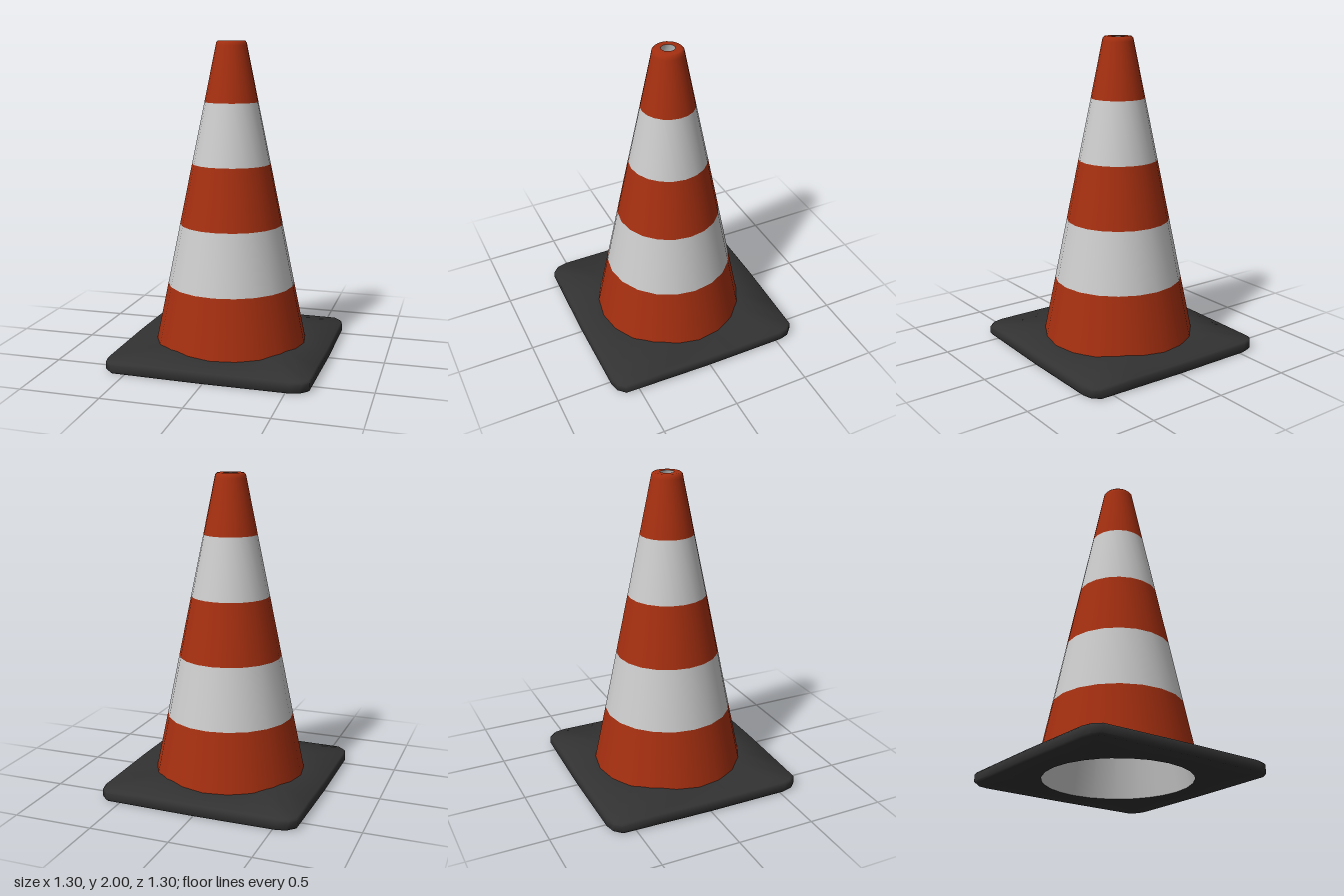
import * as THREE from 'three';
import { toCreasedNormals } from 'three/addons/utils/BufferGeometryUtils.js';

const SIDES = 20;
const material = (color) => new THREE.MeshStandardMaterial({ color });

function lathe(name, profile, mat) {
  const points = profile.map(([r, y]) => new THREE.Vector2(r, y));
  const mesh = new THREE.Mesh(new THREE.LatheGeometry(points, SIDES), mat);
  mesh.name = name;
  return mesh;
}

// Rounded, slightly skewed square outline: one side repeated by quarter turns
function baseOutline() {
  const side = [[0.59, -0.635], [0.635, -0.59], [0.65, -0.53], [0.65, -0.33],
    [0.65, -0.16], [0.65, 0], [0.646, 0.17], [0.641, 0.36]];
  const outline = [];
  for (let q = 0; q < 4; q++) {
    for (let [x, z] of side) {
      for (let k = 0; k < q; k++) [x, z] = [-z, x];
      outline.push([x, z]);
    }
  }
  return outline;
}

// Base plate skinned through loops, from the underside hole around to the collar
function baseGeometry() {
  const outline = baseOutline();
  const n = outline.length;
  const scaled = (s, y) => outline.map(([x, z]) => [x * s, y, z * s]);
  const ring = (r, y) => outline.map(([x, z]) => {
    const a = Math.atan2(z, x);
    return [r * Math.cos(a), y(a), r * Math.sin(a)];
  });
  // four low bumps where the plate meets the cone
  const collar = (a) => 0.085 + 0.016 * Math.max(0, Math.cos(4 * (a - 0.54)));
  const loops = [
    ring(0.455, () => 0),
    scaled(0.985, 0),
    scaled(1, 0.012),
    scaled(1, 0.056),
    scaled(0.985, 0.068),
    ring(0.5, collar),
    ring(0.47, collar),
  ];
  const index = [];
  for (let i = 0; i < loops.length - 1; i++) {
    for (let j = 0; j < n; j++) {
      const k = (j + 1) % n;
      const a = i * n + j, b = i * n + k, c = a + n, d = b + n;
      index.push(a, c, b, b, c, d);
    }
  }
  const geometry = new THREE.BufferGeometry();
  geometry.setAttribute('position', new THREE.Float32BufferAttribute(loops.flat(2), 3));
  geometry.setIndex(index);
  return toCreasedNormals(geometry, 0.9);
}

export function createModel() {
  const group = new THREE.Group();
  group.name = 'trafficCone';
  const orange = material(0xa52f10);
  const grey = material(0xcccccc);

  const base = new THREE.Mesh(baseGeometry(), material(0x323232));
  base.name = 'basePlate';
  group.add(base);

  // Striped cone wall
  const rings = [[0.492, 0.05], [0.408, 0.457], [0.329, 0.845], [0.25, 1.232], [0.17, 1.62]];
  for (let i = 0; i < rings.length - 1; i++) {
    const isOrange = i % 2 === 0;
    group.add(lathe(isOrange ? 'orangeBand' : 'reflectiveBand',
      [rings[i], rings[i + 1]], isOrange ? orange : grey));
  }

  // Tip with rounded lip around the open hole
  group.add(lathe('tip', [rings[4], [0.099, 1.968], [0.095, 1.988], [0.083, 2], [0.043, 2]], orange));

  // Inner wall, facing the axis
  group.add(lathe('innerWall', [[0.043, 2], [0.06, 1.95], [0.462, 0]], grey));

  return group;
}
